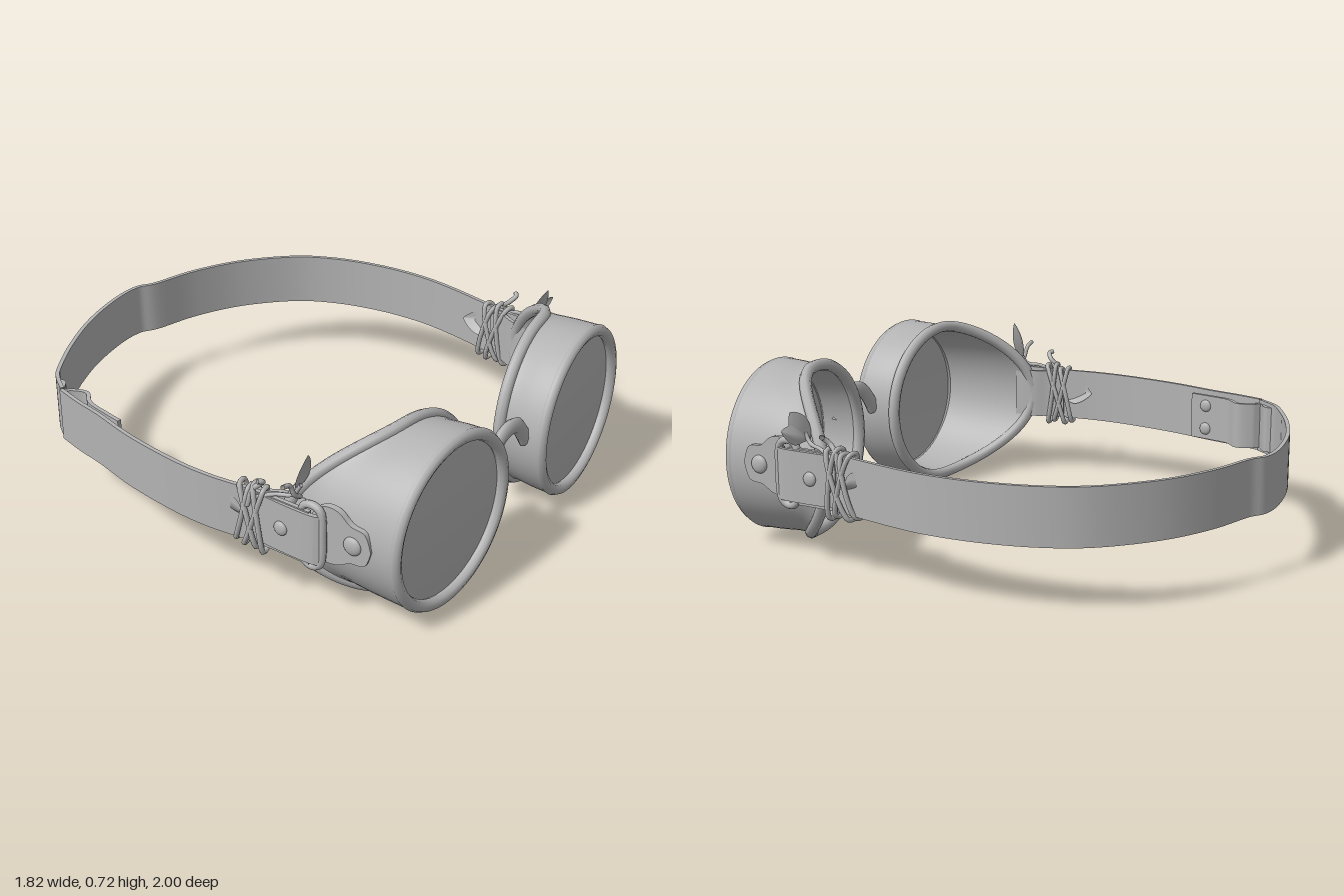
import * as THREE from 'three';
import { toCreasedNormals } from 'three/addons/utils/BufferGeometryUtils.js';
import { ParametricGeometry } from 'three/addons/geometries/ParametricGeometry.js';

const grey = new THREE.MeshStandardMaterial({ color: 0xb3b3b3, side: THREE.DoubleSide });
grey.name = 'plain grey';

const CX = 0.465, CY = 0.368;   // cup centre, measured from the mirror plane
const MID = 0.035;              // x of the mirror plane
const V = (x, y, z) => new THREE.Vector3(x, y, z);

function add(parent, name, geometry) {
  const mesh = new THREE.Mesh(geometry, grey);
  mesh.name = name;
  parent.add(mesh);
  return mesh;
}

function tube(parent, name, points, radius, closed = false, segments = 40) {
  const curve = new THREE.CatmullRomCurve3(points.map(p => V(...p)), closed);
  return add(parent, name, new THREE.TubeGeometry(curve, segments, radius, 8, closed));
}

// Upright strap following [x, z] points
function ribbon(parent, name, points, segments, top = 0.48, height = 0.22, thick = 0.016) {
  const curve = new THREE.SplineCurve(points.map(p => new THREE.Vector2(...p)));
  const outer = [], inner = [];
  for (let i = 0; i <= segments; i++) {
    const p = curve.getPoint(i / segments), t = curve.getTangent(i / segments);
    const n = new THREE.Vector2(-t.y, t.x).multiplyScalar(thick / 2);
    outer.push(p.clone().add(n));
    inner.unshift(p.clone().sub(n));
  }
  const geo = new THREE.ExtrudeGeometry(new THREE.Shape([...outer, ...inner]), { depth: height, bevelEnabled: false });
  geo.rotateX(Math.PI / 2).translate(0, top, 0);
  return add(parent, name, toCreasedNormals(geo, 0.7));
}

// Pointed leaf, folded along its midrib, growing up +y from its stem
function leaf(parent, name, length, width, position, rotation) {
  const geo = new ParametricGeometry((u, v, out) => {
    const s = u * 2 - 1;
    const w = width * Math.pow(Math.sin(Math.PI * Math.pow(v, 0.75)), 0.8) + 0.003;
    out.set(s * w, v * length, Math.abs(s) * w * 0.35 + 0.03 * v * v);
  }, 4, 10);
  const mesh = add(parent, name, geo);
  mesh.position.set(...position);
  mesh.rotation.set(...rotation);
}

function rivet(parent, position, radius, alongX = true) {
  const mesh = add(parent, 'rivet', new THREE.SphereGeometry(radius, 16, 10));
  mesh.position.set(...position);
  mesh.scale.set(alongX ? 0.45 : 1, 1, alongX ? 1 : 0.45);
}

// Front and rear edges of a cup, for u from nose (-1) to temple (1)
const frontZ = u => 0.955 - 0.02 * u;
const rearZ = u => 0.765 - 0.035 * u - 0.245 * Math.max(0, u) ** 2;

function edgeLoop(radius, zOf) {
  return Array.from({ length: 40 }, (_, i) => {
    const a = i / 40 * Math.PI * 2;
    return [CX + radius * Math.cos(a), CY + radius * Math.sin(a), zOf(Math.cos(a))];
  });
}

function buildCup(side) {
  // profile of [radius, depth fraction]: outside first, then back along the inside
  const profile = new THREE.SplineCurve([[0.343, 0.02], [0.34, 0.4], [0.333, 0.8], [0.338, 1],
    [0.322, 1], [0.315, 0.6], [0.305, 0.05]].map(p => new THREE.Vector2(...p)));
  add(side, 'eyeCup', new ParametricGeometry((u, v, out) => {
    const a = u * Math.PI * 2, p = profile.getPoint(v), c = Math.cos(a);
    out.set(CX + p.x * c, CY + p.x * Math.sin(a), THREE.MathUtils.lerp(frontZ(c), rearZ(c), p.y));
  }, 64, 24));
  add(side, 'lens', new ParametricGeometry((u, v, out) => {
    const a = u * Math.PI * 2, r = 0.31 * (1 - v * 0.999), c = Math.cos(a);
    out.set(CX + r * c, CY + r * Math.sin(a), frontZ(c * r / 0.31) - 0.012 + 0.02 * (1 - (r / 0.31) ** 2));
  }, 48, 10));
  tube(side, 'lensRing', edgeLoop(0.322, frontZ), 0.024, true, 72);
  tube(side, 'cupRim', edgeLoop(0.334, rearZ), 0.024, true, 72);
}

function buildHinge(side) {
  // lobed tab riveted to the temple side of the cup
  const outline = [[0.855, 0.385], [0.83, 0.45], [0.77, 0.462], [0.72, 0.5], [0.66, 0.5], [0.61, 0.45],
    [0.61, 0.32], [0.66, 0.275], [0.72, 0.28], [0.77, 0.308], [0.83, 0.32]];
  const shape = new THREE.Shape(new THREE.SplineCurve(
    [...outline, outline[0]].map(([z, y]) => new THREE.Vector2(-z, y))).getPoints(44));
  const geo = new THREE.ExtrudeGeometry(shape, { depth: 0.024, bevelEnabled: false });
  geo.rotateY(Math.PI / 2).translate(0.79, 0, 0);
  add(side, 'hingeTab', toCreasedNormals(geo, 0.6));
  rivet(side, [0.815, 0.385, 0.78], 0.036);
  const x = 0.835;
  tube(side, 'strapLoop', [[x, 0.27, 0.66], [x, 0.385, 0.67], [x, 0.49, 0.66], [x, 0.505, 0.625], [x, 0.49, 0.59],
    [x, 0.385, 0.58], [x, 0.27, 0.59], [x, 0.25, 0.625]], 0.015, true, 48);
  // strap end folded through the loop
  ribbon(side, 'strapFold', [[0.838, 0.35], [0.815, 0.42], [0.785, 0.48], [0.775, 0.56]], 12, 0.475, 0.21);
  ribbon(side, 'strapFoldOuter', [[0.846, 0.4], [0.852, 0.5], [0.852, 0.62], [0.842, 0.66], [0.825, 0.65]], 16, 0.475, 0.2);
  rivet(side, [0.862, 0.375, 0.51], 0.028);
}

function buildVine(side, isLeft) {
  // thin stems wound around the strap
  [[-0.04, 0.03], [-0.015, -0.035], [0.01, 0.045], [0.03, -0.02]].forEach(([dz, tilt], k) => {
    const pts = Array.from({ length: 14 }, (_, i) => {
      const a = i / 14 * Math.PI * 2, s = Math.sin(a);
      const c = Math.cos(a);
      return [0.84 + 0.034 * Math.sign(c) * Math.sqrt(Math.abs(c)), 0.368 + (0.118 + 0.006 * k) * s, 0.375 + dz + tilt * s + 0.012 * c];
    });
    tube(side, 'vineWrap', pts, 0.01, true, 56);
  });
  tube(side, 'vineTendril', [[0.87, 0.42, 0.37], [0.86, 0.49, 0.39], [0.85, 0.52, 0.42], [0.87, 0.545, 0.44], [0.885, 0.55, 0.43]], 0.01);
  tube(side, 'vineStem', [[0.86, 0.46, 0.4], [0.84, 0.49, 0.47], [0.82, 0.5, 0.53], [0.815, 0.55, 0.565]], 0.008);
  leaf(side, 'sideLeaf', 0.14, 0.05, [0.87, 0.375, 0.35], [-Math.PI / 2, -1.25, 0]);
  if (isLeft) {
    leaf(side, 'topLeaf', 0.13, 0.055, [0.8, 0.51, 0.545], [0.12, 0, -0.5]);
    leaf(side, 'topLeaf', 0.11, 0.035, [0.82, 0.52, 0.55], [0.1, 0, -1.15]);
  } else {
    leaf(side, 'topLeaf', 0.15, 0.038, [0.81, 0.53, 0.545], [0.1, 0, 0]);
    tube(side, 'vineCurl', [[0.8, 0.49, 0.55], [0.84, 0.52, 0.555], [0.86, 0.565, 0.55], [0.9, 0.58, 0.55]], 0.009);
  }
}

function buildBuckle(model) {
  const buckle = new THREE.Group();
  buckle.name = 'buckle';
  buckle.position.set(-0.7, 0.365, -0.65);
  buckle.rotation.y = Math.atan2(-0.84, -0.54);   // local x runs along the strap tail, z points outward
  model.add(buckle);
  tube(buckle, 'buckleFrame', [[-0.13, -0.14, 0], [-0.14, 0, 0], [-0.13, 0.14, 0], [-0.09, 0.155, 0.01], [0.02, 0.145, 0.025],
    [0.11, 0.155, 0.01], [0.145, 0.13, 0], [0.15, 0, 0], [0.145, -0.13, 0], [0.11, -0.155, 0.01], [0.02, -0.145, 0.025],
    [-0.09, -0.155, 0.01]], 0.017, true, 72);
  tube(buckle, 'buckleBar', [[0, -0.145, 0.01], [0, 0, -0.012], [0, 0.145, 0.01]], 0.014);
  tube(buckle, 'buckleProng', [[0, 0, -0.01], [-0.04, 0.005, 0.035], [-0.1, 0.005, 0.04], [-0.15, 0, 0.02]], 0.012);
  // strap bulging through the frame
  const hump = add(buckle, 'strapHump', new THREE.SphereGeometry(1, 24, 14));
  hump.scale.set(0.085, 0.1, 0.035);
  hump.position.set(0.03, 0, 0.008);
  // loose tail with a rounded end
  const s = new THREE.Shape();
  s.moveTo(-0.17, -0.1);
  s.lineTo(0.42, -0.11);
  s.bezierCurveTo(0.47, -0.11, 0.49, -0.06, 0.49, 0);
  s.bezierCurveTo(0.49, 0.06, 0.47, 0.11, 0.42, 0.11);
  s.lineTo(-0.17, 0.1);
  const geo = new THREE.ExtrudeGeometry(s, { depth: 0.016, bevelEnabled: false });
  add(buckle, 'strapTail', toCreasedNormals(geo, 0.6));
}

export function createModel() {
  const model = new THREE.Group();
  model.name = 'goggles';

  // mirrored cups, hinges and vines
  for (const sign of [1, -1]) {
    const side = new THREE.Group();
    side.name = sign > 0 ? 'leftSide' : 'rightSide';
    side.position.x = MID;
    side.scale.x = sign;
    buildCup(side);
    buildHinge(side);
    buildVine(side, sign > 0);
    model.add(side);
  }

  // arched nose bridge
  const bridge = tube(model, 'noseBridge', [[-0.1, 0.385, 0], [-0.07, 0.43, 0], [-0.025, 0.48, 0], [0.035, 0.497, 0],
    [0.095, 0.48, 0], [0.14, 0.43, 0], [0.17, 0.385, 0]], 0.033);
  bridge.scale.z = 0.65;
  bridge.position.z = 0.91;

  // long strap around the back, and the short strap to the buckle
  ribbon(model, 'longStrap', [[0.87, 0.62], [0.87, 0.5], [0.877, 0.38], [0.925, 0.13], [0.943, -0.05], [0.928, -0.25], [0.875, -0.45],
    [0.78, -0.62], [0.6, -0.785], [0.4, -0.89], [0.21, -0.947], [0.13, -0.988], [0, -0.988], [-0.2, -0.945], [-0.4, -0.865],
    [-0.58, -0.765], [-0.64, -0.715], [-0.69, -0.645]], 110);
  ribbon(model, 'shortStrap', [[-0.807, 0.62], [-0.81, 0.4], [-0.832, 0.2], [-0.83, 0.03], [-0.8, -0.2], [-0.752, -0.4],
    [-0.73, -0.52], [-0.7, -0.64]], 50);
  ribbon(model, 'buckleFold', [[-0.725, -0.32], [-0.712, -0.4], [-0.69, -0.5], [-0.642, -0.56], [-0.66, -0.62], [-0.685, -0.65],
    [-0.635, -0.69], [-0.64, -0.72]], 40, 0.465, 0.19);
  for (const y of [0.32, 0.42]) rivet(model, [-0.705, y, -0.39], 0.026);

  return model;
}
